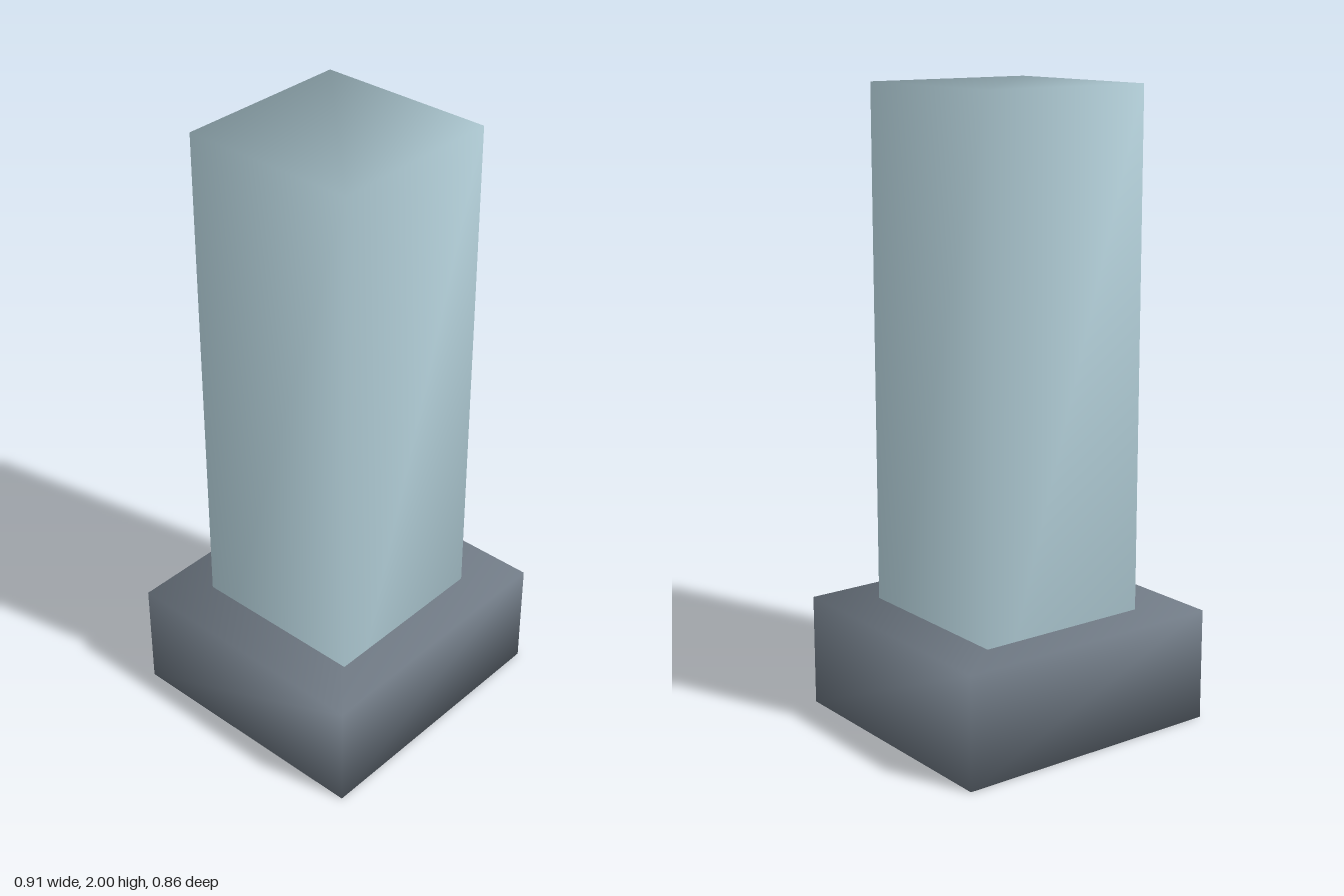
import * as THREE from 'three';
import { mergeVertices } from 'three/addons/utils/BufferGeometryUtils.js';

// Box with shared corners, so its normals are smoothed across all edges
function smoothBox(name, width, height, depth, color) {
  let geometry = new THREE.BoxGeometry(width, height, depth);
  geometry.deleteAttribute('normal');
  geometry.deleteAttribute('uv');
  geometry.clearGroups();
  geometry = mergeVertices(geometry);
  geometry.computeVertexNormals();
  geometry.translate(0, height / 2, 0);
  const material = new THREE.MeshStandardMaterial({ color, side: THREE.DoubleSide });
  const mesh = new THREE.Mesh(geometry, material);
  mesh.name = name;
  return mesh;
}

export function createModel() {
  const model = new THREE.Group();
  model.name = 'pillar';
  // Wide plinth, and a square post running through it to the floor
  model.add(smoothBox('base', 0.91, 0.36, 0.856, 0x6f7984));
  model.add(smoothBox('post', 0.583, 2, 0.583, 0xb9d6e0));
  return model;
}
